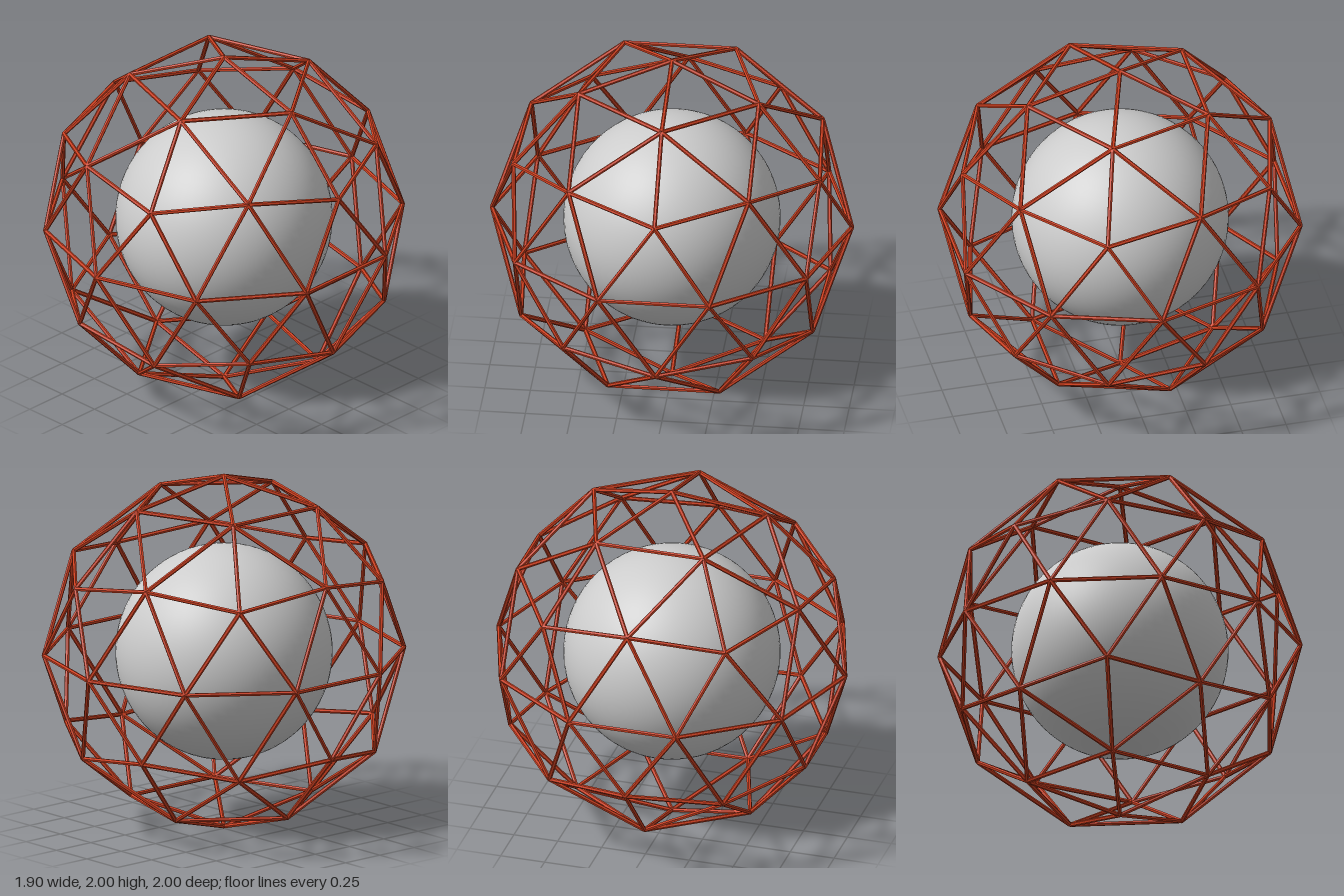
import * as THREE from 'three';

const FRAME_RADIUS = 0.988;
const STRUT_RADIUS = 0.012;
const CORE_RADIUS = 0.593;

const frameRed = new THREE.MeshStandardMaterial({ color: 0xd04020 });
frameRed.name = 'frame red';
const coreGrey = new THREE.MeshStandardMaterial({ color: 0xcccccc });
coreGrey.name = 'core grey';

// Icosahedron corners standing on a point, plus the edge midpoints pushed out to the sphere
function geodesicNodes() {
  const corners = [new THREE.Vector3(0, 1, 0), new THREE.Vector3(0, -1, 0)];
  const y = 1 / Math.sqrt(5);
  for (let i = 0; i < 5; i++) {
    const a = (i * 2 * Math.PI) / 5;
    const corner = new THREE.Vector3(2 * y * Math.cos(a), y, 2 * y * Math.sin(a));
    corners.push(corner, corner.clone().negate());
  }
  const nodes = [...corners];
  corners.forEach((a, i) => {
    for (const b of corners.slice(i + 1)) {
      if (a.distanceTo(b) < 1.1) nodes.push(a.clone().add(b).normalize());
    }
  });
  return nodes;
}

// Six-sided bar between two points, with hard facets
function strut(a, b) {
  const dir = b.clone().sub(a);
  const indexed = new THREE.CylinderGeometry(STRUT_RADIUS, STRUT_RADIUS, dir.length(), 6);
  const geometry = indexed.toNonIndexed();
  geometry.computeVertexNormals();
  const mesh = new THREE.Mesh(geometry, frameRed);
  mesh.name = 'strut';
  mesh.position.copy(a).add(b).multiplyScalar(0.5);
  mesh.quaternion.setFromUnitVectors(new THREE.Vector3(0, 1, 0), dir.normalize());
  return mesh;
}

export function createModel() {
  const model = new THREE.Group();
  model.name = 'geodesicSphere';

  // Inner ball
  const core = new THREE.Mesh(new THREE.SphereGeometry(CORE_RADIUS, 64, 40), coreGrey);
  core.name = 'core';
  core.position.y = 1;
  model.add(core);

  // Outer cage: one strut between each pair of neighbouring nodes
  const cage = new THREE.Group();
  cage.name = 'cage';
  cage.position.y = 1;
  const nodes = geodesicNodes().map((n) => n.multiplyScalar(FRAME_RADIUS));
  nodes.forEach((a, i) => {
    for (const b of nodes.slice(i + 1)) {
      if (a.distanceTo(b) < 0.7 * FRAME_RADIUS) cage.add(strut(a, b));
    }
  });
  model.add(cage);

  return model;
}
